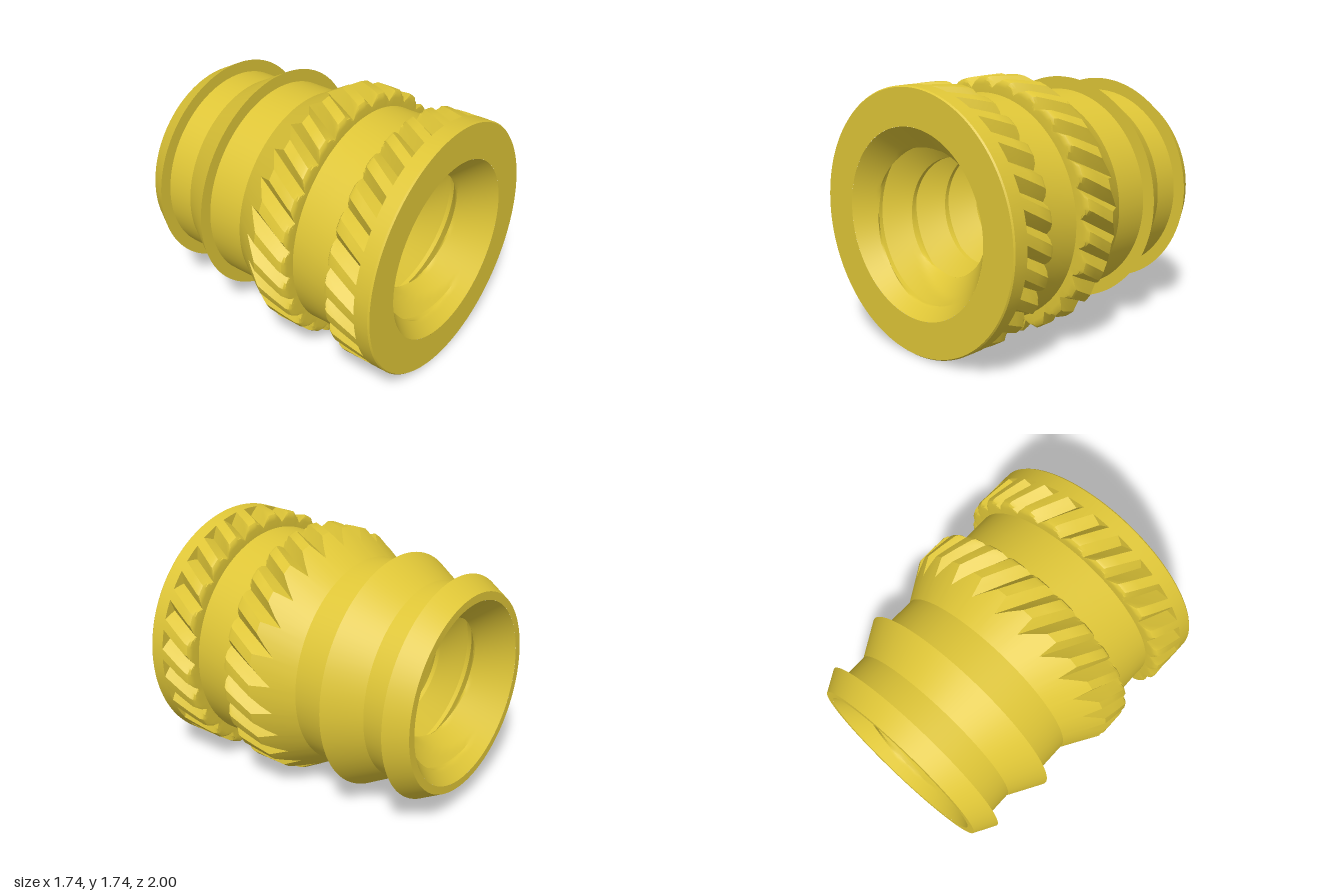
import * as THREE from 'three';
import { toCreasedNormals } from 'three/addons/utils/BufferGeometryUtils.js';

const AXIS_Y = 0.87;
const TAU = Math.PI * 2;
const clamp = THREE.MathUtils.clamp;

// Closed surface around the z axis; point(row, col) returns [angle, radius, z]
function sweep(rows, cols, point, crease) {
  const pos = [], index = [];
  for (let j = 0; j < rows; j++) {
    for (let i = 0; i <= cols; i++) {
      const [a, r, z] = point(j, i);
      pos.push(r * Math.cos(a), r * Math.sin(a), z);
    }
  }
  const w = cols + 1;
  for (let j = 0; j < rows - 1; j++) {
    for (let i = 0; i < cols; i++) {
      const a = j * w + i, b = a + w;
      index.push(a, b, a + 1, b, b + 1, a + 1);
    }
  }
  const geo = new THREE.BufferGeometry();
  geo.setAttribute('position', new THREE.Float32BufferAttribute(pos, 3));
  geo.setIndex(index);
  return toCreasedNormals(geo, crease);
}

// Outer body: [z, radius, kind], front to back
const KNURL = 1, RUNOUT = 2;
const PROFILE = [
  [1, 0.62], [1, 0.862], [0.99, 0.87], [0.89, 0.87],
  [0.89, 0.87, KNURL], [0.77, 0.87, KNURL], [0.685, 0.87, KNURL],
  [0.665, 0.862, KNURL], [0.653, 0.845, KNURL], [0.65, 0.82, KNURL],
  [0.65, 0.765], [0.49, 0.765], [0.335, 0.765],
  [0.335, 0.82, KNURL], [0.332, 0.845, KNURL], [0.32, 0.862, KNURL], [0.3, 0.87, KNURL],
  [0.2, 0.87, KNURL], [0.1, 0.87, RUNOUT],
  [-0.16, 0.717], [-0.425, 0.717],
  [-0.425, 0.805], [-0.66, 0.67], [-0.855, 0.67],
  [-0.855, 0.756], [-1, 0.675], [-1, 0.62],
];

function bodyGeometry() {
  const teeth = 26, twist = 0.65, floor = 0.8, top = 0.87, half = 0.32;
  const coneSlope = (0.87 - 0.717) / 0.26;
  const across = [0, 0.16, 0.32, 0.41, 0.5, 0.59, 0.68, 0.84]; // columns of one tooth
  const steps = across.length;
  return sweep(PROFILE.length, teeth * steps, (j, i) => {
    let [z, r, kind] = PROFILE[j];
    const t = across[i % steps];
    // Slanted V grooves
    const groove = floor + (top - floor) * Math.min(1, Math.min(t, 1 - t) / half);
    if (kind) r = Math.min(r, groove);
    // Each groove runs out to a point on the cone
    if (kind === RUNOUT) z -= (top - groove) / coneSlope;
    const turn = (Math.floor(i / steps) + t) / teeth;
    return [1.546 + turn * TAU + twist * clamp(z, -0.02, 0.89), r, z];
  }, 0.5);
}

// Bore: right-hand thread that runs out into a countersink at each end
function boreGeometry() {
  const pitch = 0.3, steps = 20, cols = 80, minor = 0.375, major = 0.54;
  return sweep(9 * steps + 1, cols, (j, i) => {
    const z = clamp(-1.427 + pitch * (j / steps + i / cols), -1, 1);
    const phase = (j % steps) / steps;
    const d = Math.min(phase, 1 - phase);
    const thread = major - (major - minor) * clamp((d - 0.05) / 0.4, 0, 1);
    const countersink = 0.62 - 0.9 * (1 - Math.abs(z));
    return [i / cols * TAU, Math.max(thread, countersink), z];
  }, 0.5);
}

export function createModel() {
  const brass = new THREE.MeshStandardMaterial({ color: 0xdfc637 });
  brass.name = 'brass';
  const group = new THREE.Group();
  group.name = 'threadedInsert';
  const parts = { knurledBody: bodyGeometry(), threadedBore: boreGeometry() };
  for (const [name, geo] of Object.entries(parts)) {
    const mesh = new THREE.Mesh(geo, brass);
    mesh.name = name;
    mesh.position.y = AXIS_Y;
    group.add(mesh);
  }
  return group;
}
